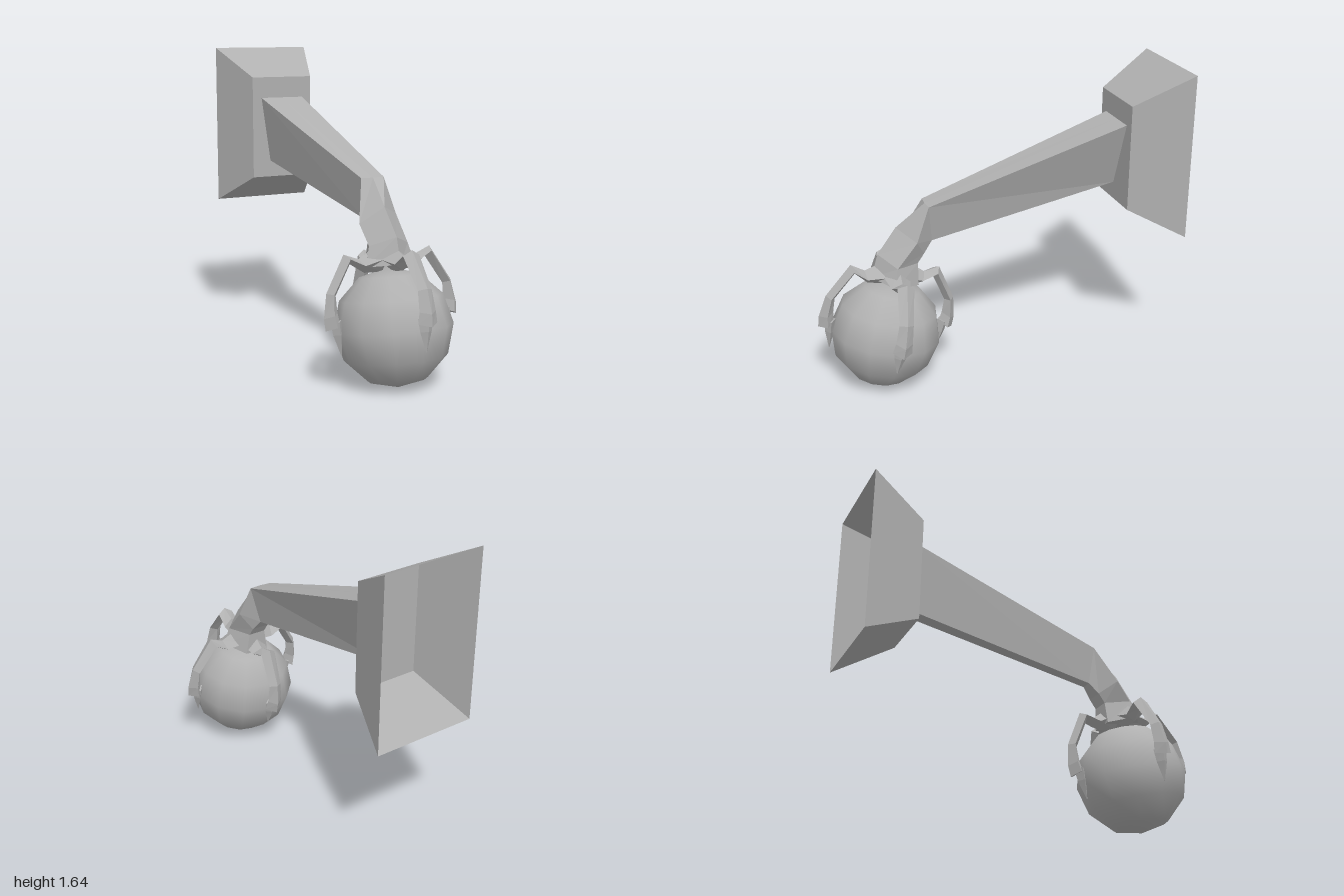
import * as THREE from 'three';

// Skin a list of equal-length rings of [x, y, z] points, flat faced, with optional end caps
function loft(rings, capStart, capEnd) {
  const pos = [];
  const tri = (a, b, c) => pos.push(...a, ...b, ...c);
  const n = rings[0].length;
  for (let i = 0; i < rings.length - 1; i++) {
    for (let j = 0; j < n; j++) {
      const k = (j + 1) % n;
      tri(rings[i][j], rings[i][k], rings[i + 1][k]);
      tri(rings[i][j], rings[i + 1][k], rings[i + 1][j]);
    }
  }
  const first = rings[0], last = rings[rings.length - 1];
  for (let j = 1; j < n - 1; j++) {
    if (capStart) tri(first[0], first[j + 1], first[j]);
    if (capEnd) tri(last[0], last[j], last[j + 1]);
  }
  const geo = new THREE.BufferGeometry();
  geo.setAttribute('position', new THREE.Float32BufferAttribute(pos, 3));
  geo.computeVertexNormals();
  return geo;
}

const rect = (w, y0, y1, z) => [[w, y1, z], [-w, y1, z], [-w, y0, z], [w, y0, z]];

// Claw section: outer ridge, two side edges and inner ridge
const clawSection = ([ox, oy, ix, iy, w]) => {
  const mx = (ox + ix) / 2, my = (oy + iy) / 2;
  return [[ox, oy, 0], [mx, my, w], [ix, iy, 0], [mx, my, -w]];
};

export function createModel() {
  const model = new THREE.Group();
  const grey = new THREE.MeshStandardMaterial({ color: 0xb0b0b0 });
  grey.name = 'grey';
  const greyOpen = grey;
  greyOpen.side = THREE.DoubleSide;

  const add = (parent, name, geo) => {
    const mesh = new THREE.Mesh(geo, grey);
    mesh.name = name;
    parent.add(mesh);
    return mesh;
  };

  // Wall mount: hollow tapered box, open at the back
  add(model, 'wallMount', loft([
    rect(0.29, 0.73, 1.645, -1),
    rect(0.185, 0.895, 1.48, -0.69),
  ], false, true));

  // Arm: slightly twisted taper, top ridge, left, bottom left, bottom right, right
  const wristStart = [[0.01, 1.02, 0.4], [-0.055, 1.02, 0.395], [-0.03, 0.81, 0.37], [0.03, 0.81, 0.37], [0.075, 1.02, 0.395]];
  add(model, 'arm', loft([
    [[0, 1.36, -0.69], [-0.13, 1.36, -0.69], [-0.077, 0.99, -0.69], [0, 0.99, -0.69], [0.13, 1.36, -0.69]],
    wristStart,
  ], true, false));

  // Wrist and palm bending down over the ball
  add(model, 'wrist', loft([
    wristStart,
    [[-0.01, 0.895, 0.555], [-0.122, 0.81, 0.5], [-0.05, 0.75, 0.42], [0.05, 0.75, 0.42], [0.105, 0.84, 0.47]],
    [[0, 0.76, 0.66], [-0.11, 0.71, 0.58], [-0.05, 0.7, 0.455], [0.05, 0.7, 0.455], [0.11, 0.71, 0.58]],
    [[0, 0.63, 0.7], [-0.14, 0.61, 0.6], [-0.07, 0.58, 0.46], [0.07, 0.58, 0.46], [0.14, 0.61, 0.6]],
  ], false, true));

  // Ball and claws share one tilted axis
  const grip = new THREE.Group();
  grip.name = 'grip';
  grip.position.set(0, 0.3, 0.635);
  grip.rotation.x = -0.18;
  model.add(grip);

  add(grip, 'ball', new THREE.SphereGeometry(0.3, 12, 6));

  // outer x, outer y, inner x, inner y, half width
  const finger = loft([
    [0.04, 0.42, 0.04, 0.28, 0.08],
    [0.165, 0.355, 0.14, 0.285, 0.05],
    [0.245, 0.385, 0.215, 0.335, 0.045],
    [0.355, 0.205, 0.305, 0.19, 0.038],
    [0.378, 0.085, 0.303, 0.11, 0.045],
    [0.374, 0.025, 0.293, 0.055, 0.052],
  ].map(clawSection), true, true);
  const nail = loft([
    [0.345, 0.06, 0.285, 0.07, 0.04],
    [0.335, 0.0, 0.285, 0.0, 0.032],
    [0.302, -0.1, 0.298, -0.1, 0.002],
  ].map(clawSection), true, true);

  ['leftClaw', 'backClaw', 'rightClaw', 'frontClaw'].forEach((name, i) => {
    const claw = new THREE.Group();
    claw.name = name;
    claw.rotation.y = i * Math.PI / 2;
    add(claw, 'finger', finger);
    add(claw, 'nail', nail);
    grip.add(claw);
  });

  return model;
}
